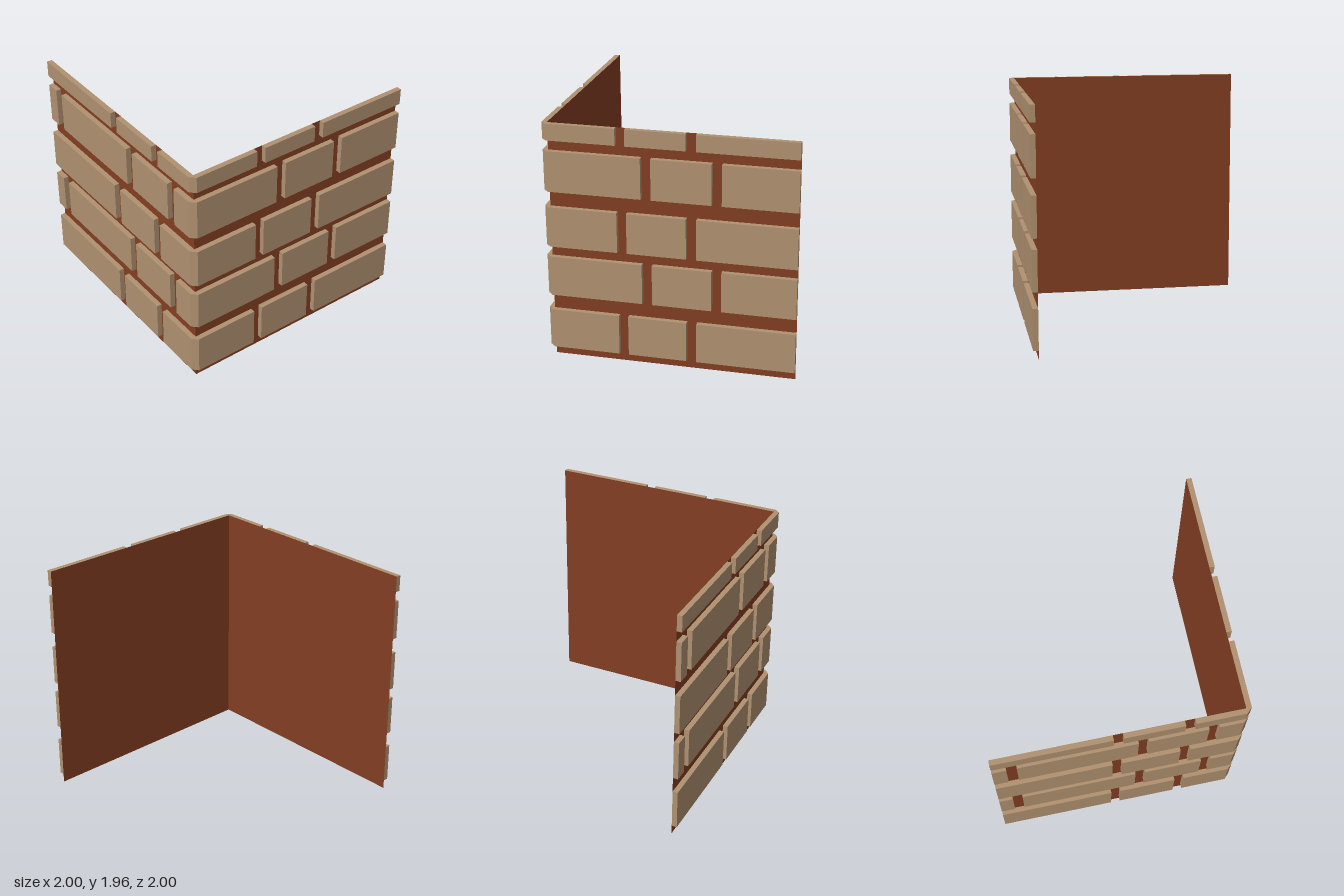
import * as THREE from 'three';

const B = 0.957;      // plane of the mortar sheets
const TOP = 1.963;    // wall height

// Brick rows: [bottom, top, uses the offset pattern]
const ROWS = [
  [0.075, 0.406, false],
  [0.535, 0.866, true],
  [0.952, 1.283, false],
  [1.412, 1.743, true],
  [1.829, TOP, false],
];

// Brick spans along x (front) and z (side), plus where the corner brick ends on each wall
const PLAIN = {
  front: [[-1, -0.062], [0.016, 0.488]],
  side: [[-1, -0.214], [-0.134, 0.337]],
  corner: [0.567, 0.413],
};
const OFFSET = {
  front: [[-1, -0.887], [-0.807, 0.135], [0.214, 0.685]],
  side: [[-1, -0.412], [-0.333, 0.139]],
  corner: [0.765, 0.219],
};

// Extrudes a plan outline of [x, z] points upwards, leaving out the hidden faces against the mortar
function brickGeometry(plan, y0, y1) {
  const shape = new THREE.Shape(plan.map(([x, z]) => new THREE.Vector2(x, -z)));
  const solid = new THREE.ExtrudeGeometry(shape, { depth: y1 - y0, bevelEnabled: false });
  solid.rotateX(-Math.PI / 2).translate(0, y0, 0);
  const p = solid.attributes.position;
  const kept = [];
  for (let i = 0; i < p.count; i += 3) {
    const tri = [i, i + 1, i + 2];
    const hidden = tri.every((k) => Math.abs(p.getZ(k) - B) < 1e-4)
      || tri.every((k) => Math.abs(p.getX(k) - B) < 1e-4);
    if (!hidden) tri.forEach((k) => kept.push(p.getX(k), p.getY(k), p.getZ(k)));
  }
  const geometry = new THREE.BufferGeometry();
  geometry.setAttribute('position', new THREE.Float32BufferAttribute(kept, 3));
  geometry.computeVertexNormals();
  return geometry;
}

export function createModel() {
  const group = new THREE.Group();
  group.name = 'brickCorner';

  const brick = new THREE.MeshStandardMaterial({ color: 0xb09170 });
  brick.name = 'tanBrick';
  const mortar = new THREE.MeshStandardMaterial({ color: 0x833e22 });
  mortar.name = 'redBrownMortar';
  mortar.side = THREE.DoubleSide;

  const add = (name, geometry, material) => {
    const mesh = new THREE.Mesh(geometry, material);
    mesh.name = name;
    group.add(mesh);
    return mesh;
  };

  // Mortar sheets, meeting at the inner corner
  const sheet = new THREE.PlaneGeometry(1 + B, TOP);
  const middle = (B - 1) / 2;
  add('frontMortar', sheet, mortar).position.set(middle, TOP / 2, B);
  const side = add('sideMortar', sheet, mortar);
  side.position.set(B, TOP / 2, middle);
  side.rotation.y = Math.PI / 2;

  for (const [y0, y1, offset] of ROWS) {
    const row = offset ? OFFSET : PLAIN;
    // Straight bricks on both walls
    for (const [a, b] of row.front) {
      add('frontBrick', brickGeometry([[a, B], [a, 1], [b, 1], [b, B]], y0, y1), brick);
    }
    for (const [a, b] of row.side) {
      add('sideBrick', brickGeometry([[B, b], [1, b], [1, a], [B, a]], y0, y1), brick);
    }
    // Brick wrapping the chamfered corner
    const [x, z] = row.corner;
    const plan = [[x, B], [x, 1], [B, 1], [1, B], [1, z], [B, z], [B, B]];
    add('cornerBrick', brickGeometry(plan, y0, y1), brick);
  }
  return group;
}
